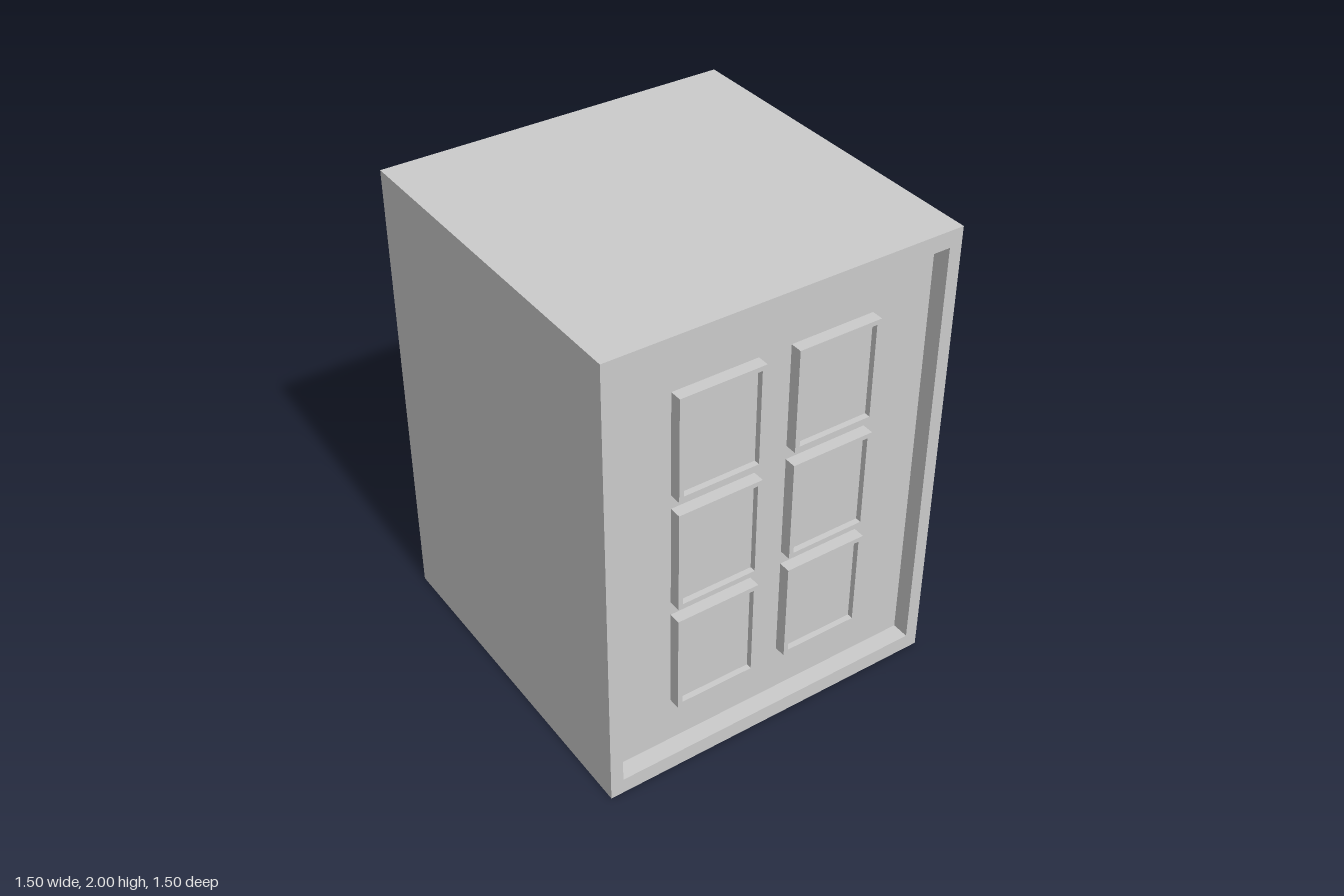
import * as THREE from 'three';

const material = new THREE.MeshStandardMaterial({ color: 0xcccccc, flatShading: true });

function add(parent, name, geometry, x, y, z) {
  const mesh = new THREE.Mesh(geometry, material);
  mesh.name = name;
  mesh.position.set(x, y, z);
  parent.add(mesh);
  return mesh;
}

function rectangle(target, w, h) {
  target.moveTo(-w / 2, -h / 2);
  target.lineTo(w / 2, -h / 2);
  target.lineTo(w / 2, h / 2);
  target.lineTo(-w / 2, h / 2);
  target.closePath();
  return target;
}

// Rectangular frame with an open middle, extruded towards +z
function frameGeometry(w, h, holeW, holeH, depth) {
  const shape = rectangle(new THREE.Shape(), w, h);
  shape.holes.push(rectangle(new THREE.Path(), holeW, holeH));
  return new THREE.ExtrudeGeometry(shape, { depth, bevelEnabled: false });
}

export function createModel() {
  const group = new THREE.Group();
  group.name = 'panelledBlock';

  const half = 0.75;
  const panelZ = 0.675; // front face of the recessed panel

  // Solid body, whose front is the recessed panel
  add(group, 'body', new THREE.BoxGeometry(2 * half, 2, half + panelZ), 0, 1, (panelZ - half) / 2);

  // Raised rim around the front
  add(group, 'frontRim', frameGeometry(2 * half, 2, 1.39, 1.86, half - panelZ), 0, 1, panelZ);

  // Two columns of three framed panes
  const paneFrame = frameGeometry(0.36, 0.44, 0.32, 0.4, 0.05);
  const pane = new THREE.BoxGeometry(0.32, 0.4, 0.025);
  for (const x of [-0.25, 0.25]) {
    for (const y of [0.5, 1, 1.5]) {
      const windowGroup = new THREE.Group();
      windowGroup.name = 'window';
      windowGroup.position.set(x, y, panelZ);
      add(windowGroup, 'windowFrame', paneFrame, 0, 0, 0);
      add(windowGroup, 'windowPane', pane, 0, 0, 0.0125);
      group.add(windowGroup);
    }
  }

  return group;
}
